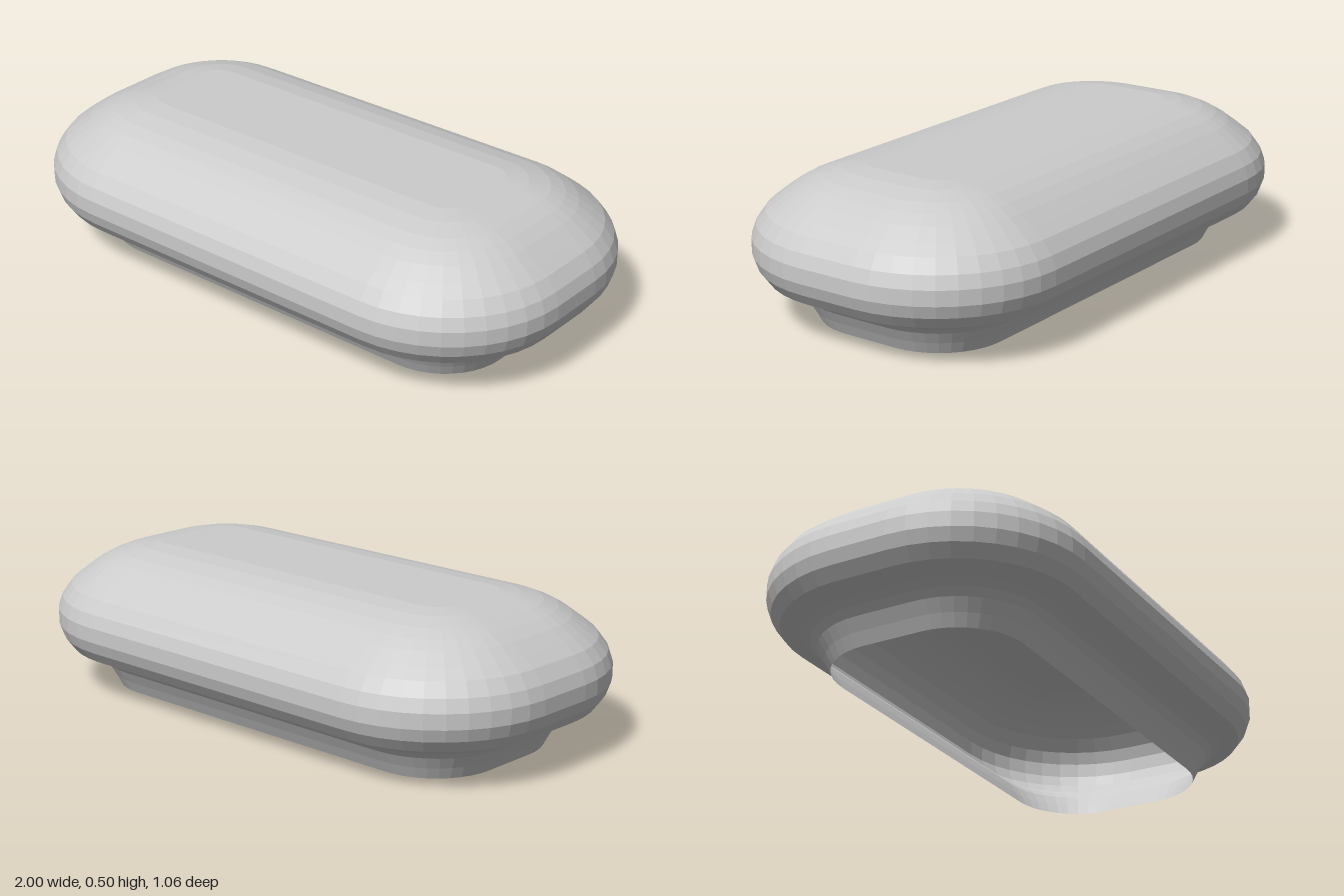
import * as THREE from 'three';

// Outer profile, foot to crown: [height, half depth]
const PROFILE = [
  [0, 0.325], [0.04, 0.346], [0.08, 0.37], [0.102, 0.393], [0.12, 0.422], [0.143, 0.487],
  [0.183, 0.517], [0.225, 0.532], [0.275, 0.532], [0.317, 0.517], [0.36, 0.485],
  [0.39, 0.447], [0.425, 0.4], [0.45, 0.357], [0.47, 0.31], [0.488, 0.24], [0.497, 0.17],
];
const CORE_X = 0.568; // corner centres of the rounded-rectangle plan
const CORE_Z = 0.1;
const CORNER_STEPS = 10;

// One rounded-rectangle ring of points at a given height
function ring(y, halfDepth) {
  const r = halfDepth - CORE_Z;
  const points = [];
  const corners = [[1, 1], [-1, 1], [-1, -1], [1, -1]];
  corners.forEach(([sx, sz], q) => {
    for (let i = 0; i <= CORNER_STEPS; i++) {
      const a = (q + i / CORNER_STEPS) * Math.PI / 2;
      points.push([sx * CORE_X + r * Math.cos(a), y, sz * CORE_Z + r * Math.sin(a)]);
    }
  });
  return points;
}

// Skin the rings together and close the crown; the foot stays open
function shellGeometry() {
  const rings = PROFILE.map(([y, d]) => ring(y, d));
  const n = rings[0].length;
  const positions = rings.flat(2);
  const index = [];
  for (let j = 0; j < rings.length - 1; j++) {
    for (let i = 0; i < n; i++) {
      const k = (i + 1) % n;
      const a = j * n + i, b = j * n + k, c = a + n, d = b + n;
      index.push(a, c, b, b, c, d);
    }
  }
  const top = (rings.length - 1) * n;
  const centre = rings.length * n;
  positions.push(0, PROFILE[PROFILE.length - 1][0], 0);
  for (let i = 0; i < n; i++) index.push(centre, top + (i + 1) % n, top + i);

  const geometry = new THREE.BufferGeometry();
  geometry.setAttribute('position', new THREE.Float32BufferAttribute(positions, 3));
  geometry.setIndex(index);
  geometry.computeVertexNormals();
  return geometry;
}

export function createModel() {
  const group = new THREE.Group();
  group.name = 'hollowCap';
  // Thin hollow shell, seen from inside and outside
  const material = new THREE.MeshStandardMaterial({
    color: 0xcccccc, flatShading: true, side: THREE.DoubleSide,
  });
  const shell = new THREE.Mesh(shellGeometry(), material);
  shell.name = 'shell';
  group.add(shell);
  return group;
}
